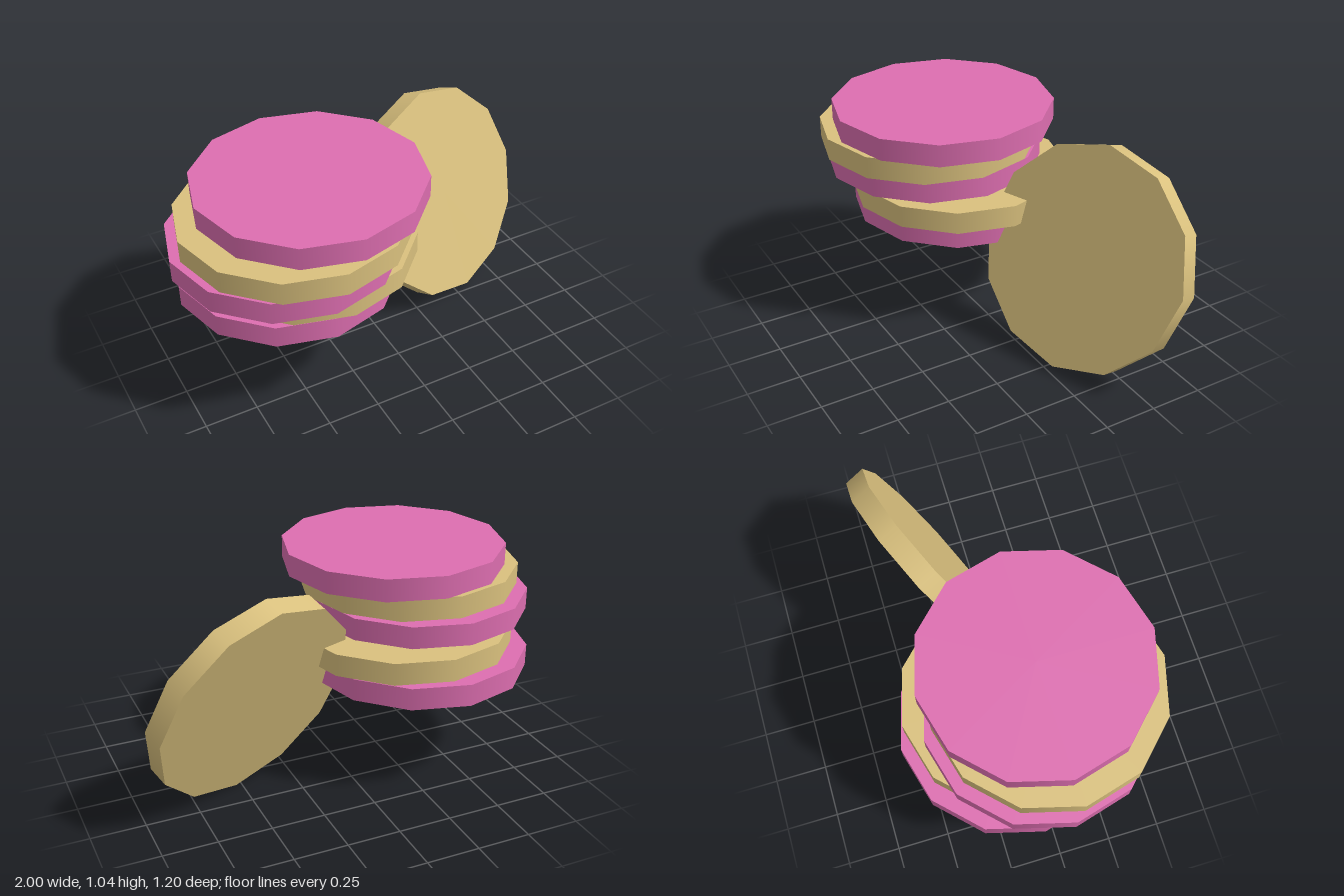
import * as THREE from 'three';

const RADIUS = 0.526;
const THICKNESS = 0.105;

export function createModel() {
  const group = new THREE.Group();
  const pink = new THREE.MeshStandardMaterial({ color: 0xdd6eb0 });
  pink.name = 'pink';
  const gold = new THREE.MeshStandardMaterial({ color: 0xdac17e });
  gold.name = 'gold';

  // One twelve-sided disc shape serves every token
  const discGeometry = new THREE.CylinderGeometry(RADIUS, RADIUS, THICKNESS, 12);
  const addDisc = (name, material, x, y, z) => {
    const disc = new THREE.Mesh(discGeometry, material);
    disc.name = name;
    disc.position.set(x, y, z);
    group.add(disc);
    return disc;
  };

  // Untidy stack, bottom to top: centre x and z of each disc
  const offsets = [
    [-0.42, -0.075],
    [-0.35, -0.04],
    [-0.475, 0.035],
    [-0.44, 0.077],
    [-0.345, 0.048],
  ];
  offsets.forEach(([x, z], i) => {
    addDisc(`stackDisc${i + 1}`, i % 2 ? gold : pink, x, 0.515 + i * 0.1205, z);
  });

  // Disc leaning beside the stack, its face turned forward and slightly up
  const leaning = addDisc('leaningDisc', gold, 0.485, 0.517, -0.226);
  const across = new THREE.Vector3(0.4975, -0.005, -0.18).normalize();
  const down = new THREE.Vector3(0.0625, -0.495, 0.17);
  const normal = down.clone().cross(across).normalize();
  const edge = across.clone().cross(normal);
  leaning.quaternion.setFromRotationMatrix(
    new THREE.Matrix4().makeBasis(across, normal, edge)
  );

  return group;
}
